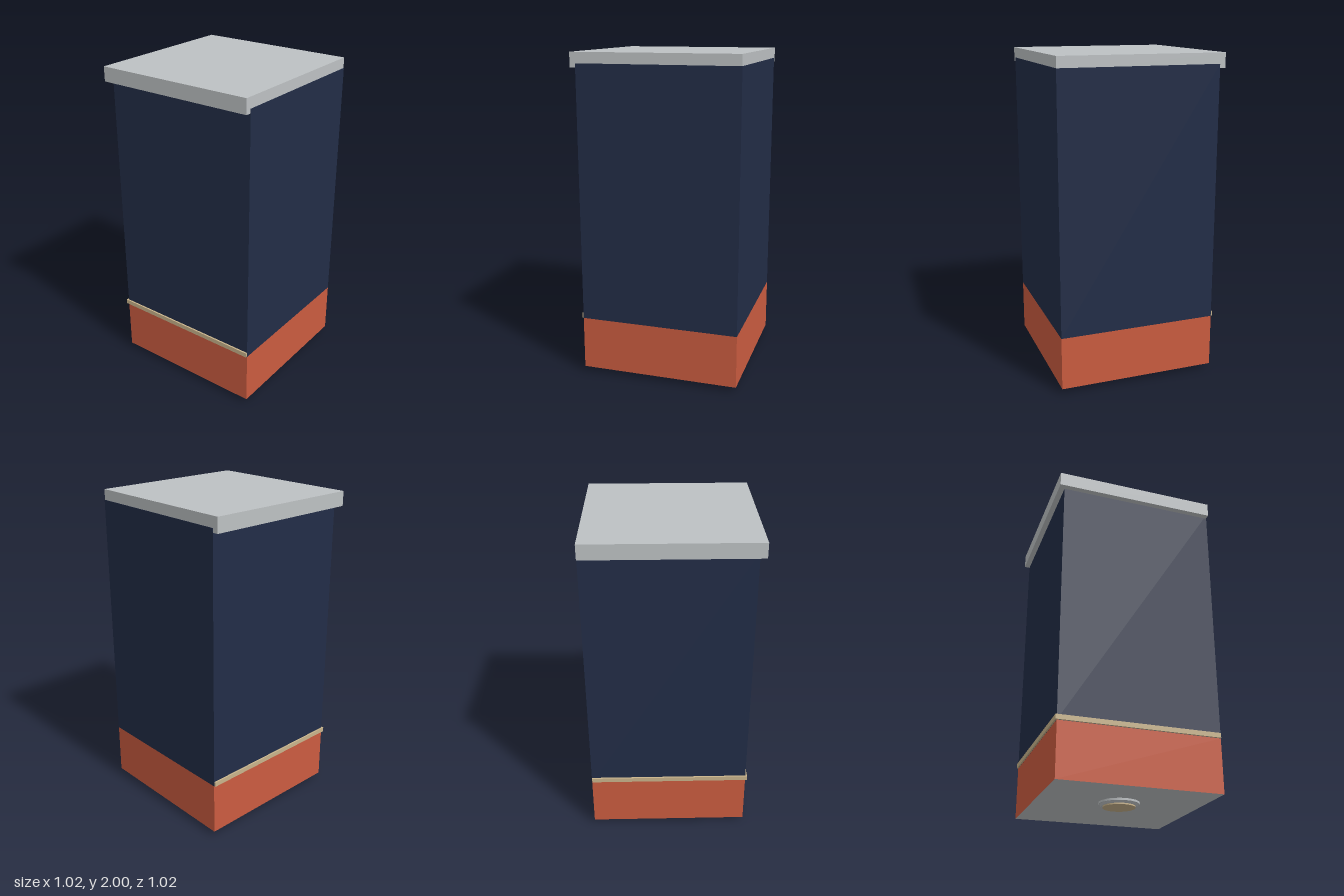
import * as THREE from 'three';

const mat = (name, color) => {
  const m = new THREE.MeshStandardMaterial({ color });
  m.name = name;
  return m;
};

export function createModel() {
  const group = new THREE.Group();
  const silver = mat('silver grey', 0xbdc1c3);
  const navy = mat('navy', 0x222d47);
  const orange = mat('burnt orange', 0xcb5c40);
  const tan = mat('tan', 0xc9b48c);

  const add = (name, geometry, material, x, y, z) => {
    const mesh = new THREE.Mesh(geometry, material);
    mesh.name = name;
    mesh.position.set(x, y, z);
    group.add(mesh);
  };

  // Square slab: reaches `far` toward +x and -z, and `near` toward -x and +z
  const slab = (name, material, near, far, y0, y1) => {
    const w = near + far, c = (far - near) / 2;
    add(name, new THREE.BoxGeometry(w, y1 - y0, w), material, c, (y0 + y1) / 2, -c);
  };

  // Lid and trim overhang only on the -x and +z sides
  slab('lid', silver, 0.51, 0.508, 1.91, 2);
  slab('upperBody', navy, 0.475, 0.51, 0.36, 1.935);
  slab('trimBand', tan, 0.485, 0.508, 0.361, 0.39);

  // Orange base with a grey underside (box face order: +x -x +y -y +z -z)
  slab('base', [orange, orange, orange, silver, orange, orange], 0.475, 0.51, 0.03, 0.36);

  // Round fitting under the base, set off centre
  const disc = (name, material, rTop, rBottom, y0, y1) =>
    add(name, new THREE.CylinderGeometry(rTop, rBottom, y1 - y0, 32), material, 0.013, (y0 + y1) / 2, 0.098);
  disc('fittingFlange', silver, 0.122, 0.122, 0.018, 0.032);
  disc('fittingRing', silver, 0.115, 0.105, 0.008, 0.018);
  disc('fittingPlug', tan, 0.098, 0.098, 0, 0.008);

  return group;
}
